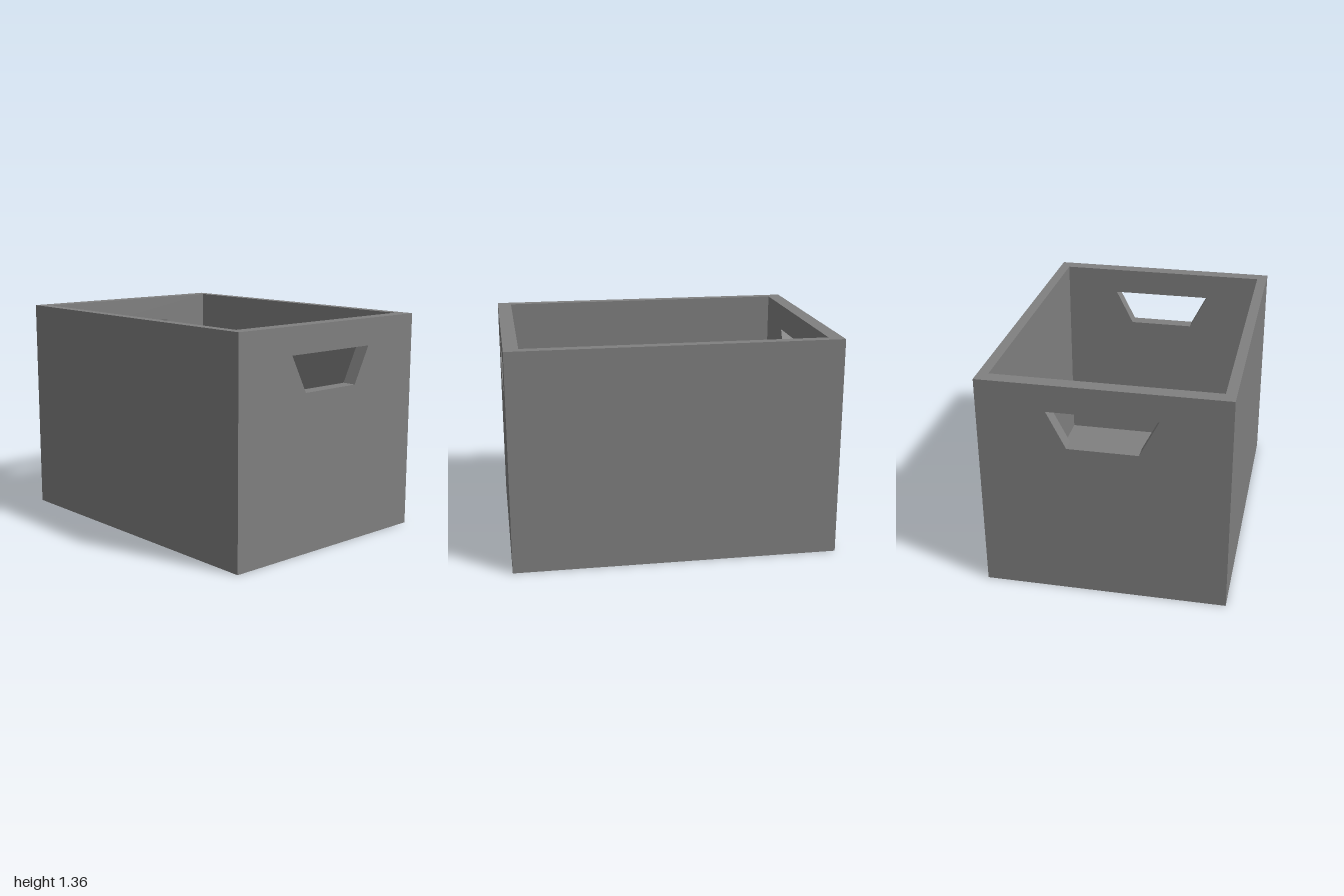
import * as THREE from 'three';

// Half sizes of the outside and the inside, plus heights
const W = 1, D = 0.735, H = 1.355;
const IW = 0.912, ID = 0.672, FLOOR = 0.07;
// Trapezoid hand hole as (z, y) points
const HANDLE = [[-0.21, 0.965], [0.21, 0.965], [0.325, 1.19], [-0.325, 1.19]];

const toPoints = (list) => list.map(([x, y]) => new THREE.Vector2(x, y));
const rect = (x, y0, y1) => [[-x, y0], [x, y0], [x, y1], [-x, y1]];

// Flat panel in the xy plane facing +z, with an optional hole
function panel(outline, hole) {
  const shape = new THREE.Shape(toPoints(outline));
  if (hole) shape.holes.push(new THREE.Path(toPoints(hole)));
  return new THREE.ShapeGeometry(shape);
}

// Inward-facing walls of the hand hole between x0 and x1
function handleLining(x0, x1) {
  const pos = [];
  HANDLE.forEach(([za, ya], i) => {
    const [zb, yb] = HANDLE[(i + 1) % HANDLE.length];
    pos.push(x0, ya, za, x0, yb, zb, x1, yb, zb);
    pos.push(x0, ya, za, x1, yb, zb, x1, ya, za);
  });
  const g = new THREE.BufferGeometry();
  g.setAttribute('position', new THREE.Float32BufferAttribute(pos, 3));
  g.computeVertexNormals();
  return g;
}

export function createModel() {
  const grey = new THREE.MeshStandardMaterial({ color: 0x808080 });
  grey.name = 'grey';
  const model = new THREE.Group();
  model.name = 'storageBox';

  const add = (parent, name, geometry) => {
    const mesh = new THREE.Mesh(geometry, grey);
    mesh.name = name;
    parent.add(mesh);
  };

  // Each wall is built once and turned half way round for the opposite side
  for (const [i, turn] of [0, Math.PI].entries()) {
    const end = new THREE.Group();
    end.name = i ? 'rightEndWall' : 'leftEndWall';
    add(end, 'endOutside', panel(rect(D, 0, H), HANDLE).rotateY(Math.PI / 2).translate(W, 0, 0));
    add(end, 'endInside', panel(rect(ID, FLOOR, H), HANDLE).rotateY(-Math.PI / 2).translate(IW, 0, 0));
    add(end, 'handHole', handleLining(IW, W));
    end.rotation.y = turn;
    model.add(end);

    const side = new THREE.Group();
    side.name = i ? 'backWall' : 'frontWall';
    add(side, 'wallOutside', panel(rect(W, 0, H)).translate(0, 0, D));
    add(side, 'wallInside', panel(rect(IW, FLOOR, H)).rotateY(Math.PI).translate(0, 0, ID));
    side.rotation.y = turn;
    model.add(side);
  }

  // Rim around the open top
  add(model, 'rim', panel(rect(W, -D, D), rect(IW, -ID, ID)).rotateX(-Math.PI / 2).translate(0, H, 0));

  // Floor, seen from inside and from below
  add(model, 'floorInside', panel(rect(IW, -ID, ID)).rotateX(-Math.PI / 2).translate(0, FLOOR, 0));
  add(model, 'floorUnderside', panel(rect(W, -D, D)).rotateX(Math.PI / 2));

  return model;
}
